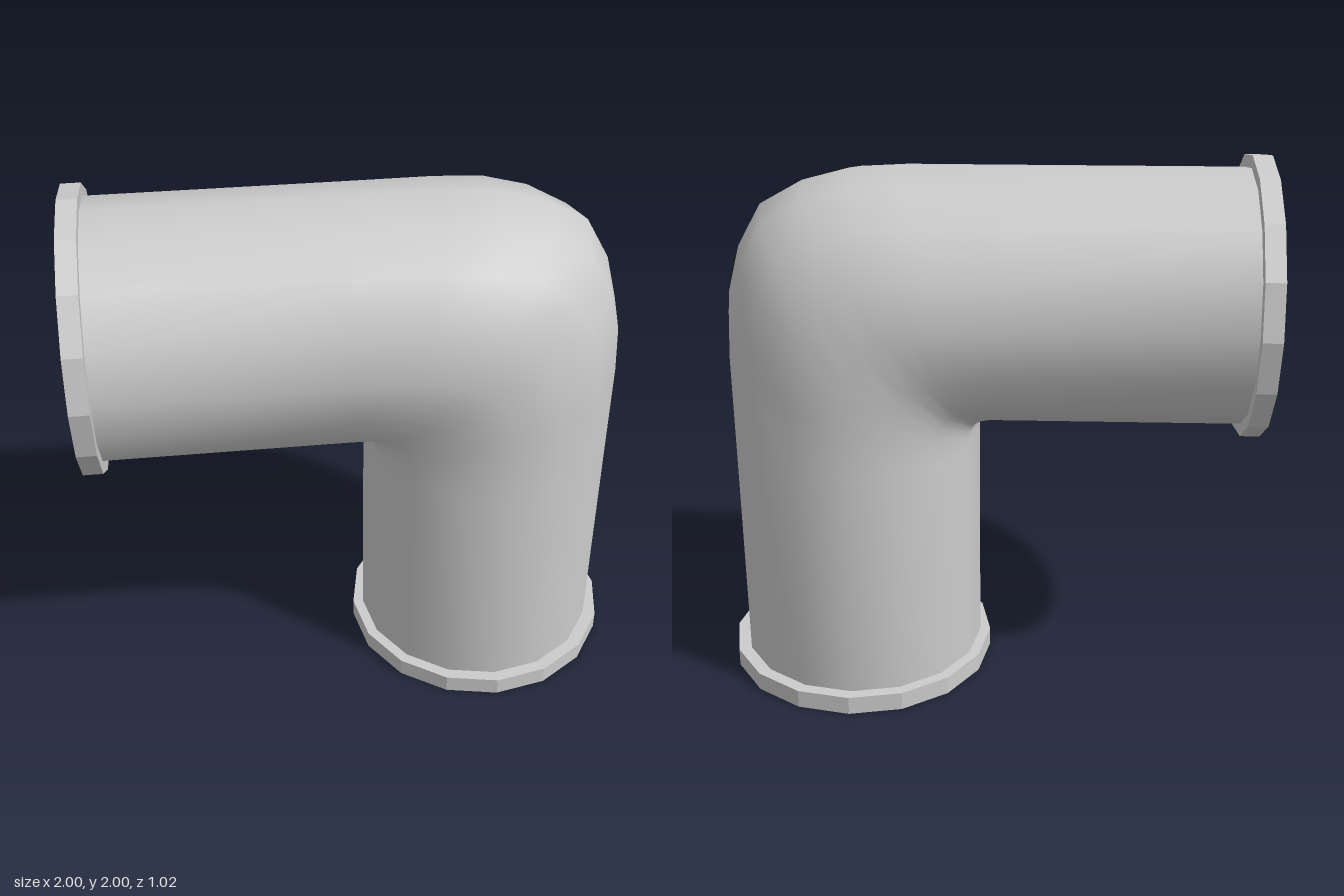
import * as THREE from 'three';

const SIDES = 16;
const AXIS_X = 0.485, AXIS_Y = 1.49;

// Half of the elbow: [inner x, inner y, outer x, outer y, half width in z]
const HALF = [
  [-0.95, 1.025, -0.95, 1.955, 0.465],
  [-0.06, 1.025, -0.06, 1.955, 0.465],
  [-0.03, 1.025, 0.3, 1.955, 0.47],
  [-0.013, 1.022, 0.48, 1.945, 0.475],
  [-0.003, 1.017, 0.65, 1.9, 0.475],
];
const MIDDLE = [0.005, 1.01, 0.807, 1.812, 0.475];

// Mirror a section across the diagonal of the elbow
const SHIFT = AXIS_Y - AXIS_X;
const mirror = ([ix, iy, ox, oy, w]) => [iy - SHIFT, ix + SHIFT, oy - SHIFT, ox + SHIFT, w];

// Skin a run of elliptical sections; scale shrinks them, inward turns the faces
function skin(sections, scale, inward) {
  const pos = [], index = [];
  for (const [ix, iy, ox, oy, w] of sections) {
    for (let j = 0; j < SIDES; j++) {
      const a = (j / SIDES) * Math.PI * 2;
      const c = Math.cos(a) * scale * 0.5;
      pos.push((ix + ox) / 2 + (ox - ix) * c, (iy + oy) / 2 + (oy - iy) * c, Math.sin(a) * w * scale);
    }
  }
  for (let i = 0; i < sections.length - 1; i++) {
    for (let j = 0; j < SIDES; j++) {
      const k = (j + 1) % SIDES;
      const a = i * SIDES + j, b = i * SIDES + k, c = a + SIDES, d = b + SIDES;
      if (inward) index.push(a, c, b, b, c, d);
      else index.push(a, b, c, b, d, c);
    }
  }
  const g = new THREE.BufferGeometry();
  g.setAttribute('position', new THREE.Float32BufferAttribute(pos, 3));
  g.setIndex(index);
  g.computeVertexNormals();
  return g;
}

export function createModel() {
  const group = new THREE.Group();
  const smooth = new THREE.MeshStandardMaterial({ color: 0xcccccc, side: THREE.DoubleSide });
  const flat = new THREE.MeshStandardMaterial({ color: 0xcccccc, flatShading: true, side: THREE.DoubleSide });
  const add = (name, geometry, material) => {
    const mesh = new THREE.Mesh(geometry, material);
    mesh.name = name;
    group.add(mesh);
    return mesh;
  };

  // Pipe wall, outside and inside
  const sections = [...HALF, MIDDLE, ...HALF.map(mirror).reverse()];
  add('elbowPipe', skin(sections, 1, false), smooth);
  add('pipeLining', skin(sections, 0.94, true), smooth);

  // Collars with a slightly tapered mouth
  const profile = [[0.46, 0], [0.51, 0], [0.51, 0.07], [0.435, 0.07], [0.46, 0]]
    .map(([x, y]) => new THREE.Vector2(x, y));
  const collar = new THREE.LatheGeometry(profile, SIDES);
  add('bottomCollar', collar, flat).position.set(0.49, 0, 0);
  const side = add('sideCollar', collar, flat);
  side.rotation.z = -Math.PI / 2;
  side.position.set(-1, AXIS_Y, 0);

  return group;
}
